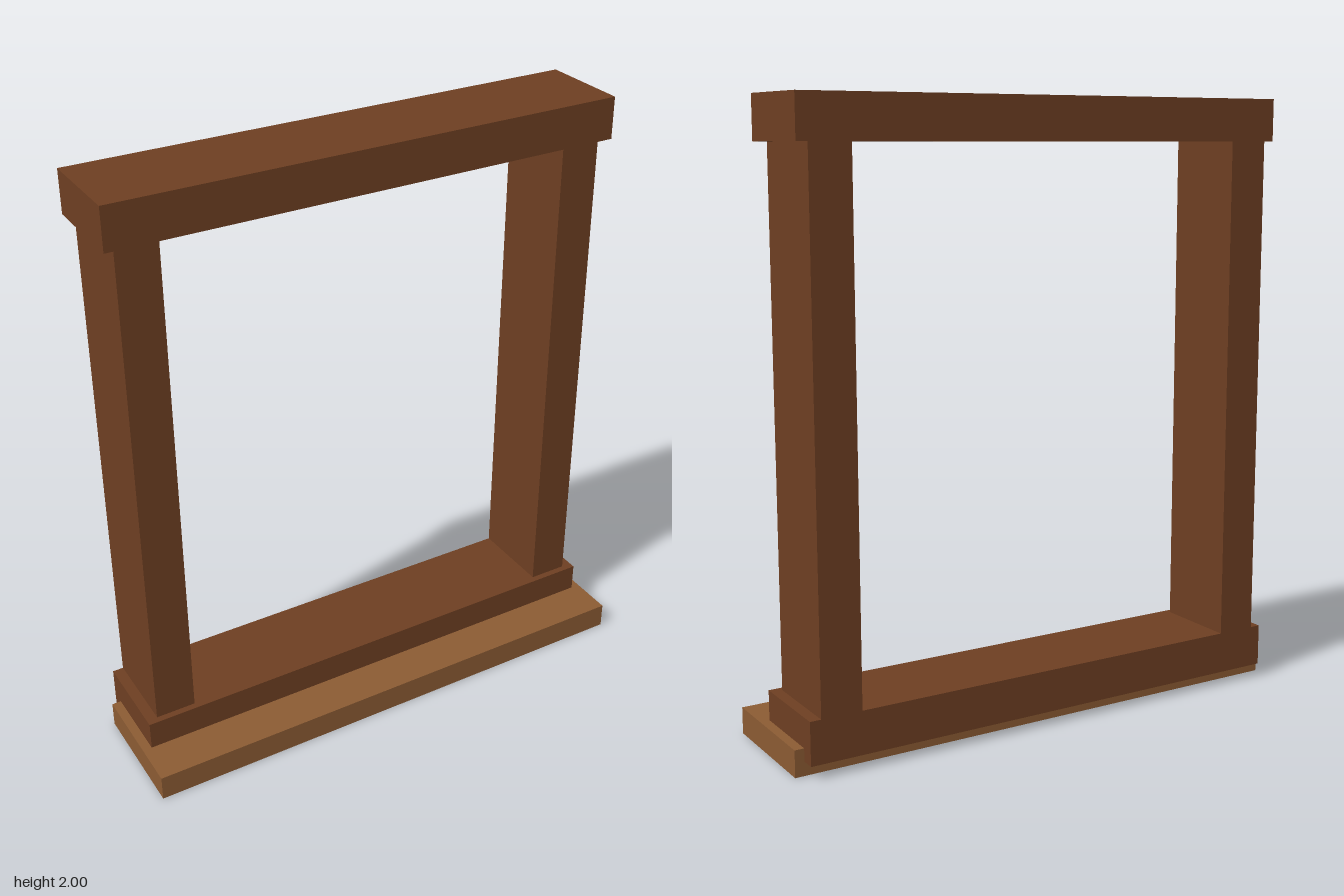
import * as THREE from 'three';

export function createModel() {
  const model = new THREE.Group();
  model.name = 'windowFrame';

  const darkWood = new THREE.MeshStandardMaterial({ color: 0x6e3f22 });
  darkWood.name = 'darkWood';
  const lightWood = new THREE.MeshStandardMaterial({ color: 0x8b5b33 });
  lightWood.name = 'lightWood';

  // Box given by its extents on each axis
  function beam(name, material, [x0, x1], [y0, y1], [z0, z1]) {
    const mesh = new THREE.Mesh(new THREE.BoxGeometry(x1 - x0, y1 - y0, z1 - z0), material);
    mesh.position.set((x0 + x1) / 2, (y0 + y1) / 2, (z0 + z1) / 2);
    mesh.name = name;
    model.add(mesh);
  }

  // Horizontal rails, flush with the posts at the back
  beam('topRail', darkWood, [-0.858, 0.858], [1.862, 2], [-0.23, 0.08]);
  beam('bottomRail', darkWood, [-0.858, 0.858], [0.045, 0.185], [-0.23, 0.08]);

  // Side posts between the rails
  beam('leftPost', darkWood, [0.687, 0.822], [0.185, 1.862], [-0.23, 0.058]);
  beam('rightPost', darkWood, [-0.822, -0.687], [0.185, 1.862], [-0.23, 0.058]);

  // Projecting sill that the bottom rail is let into
  beam('sill', lightWood, [-0.889, 0.889], [0, 0.087], [-0.183, 0.228]);

  return model;
}
